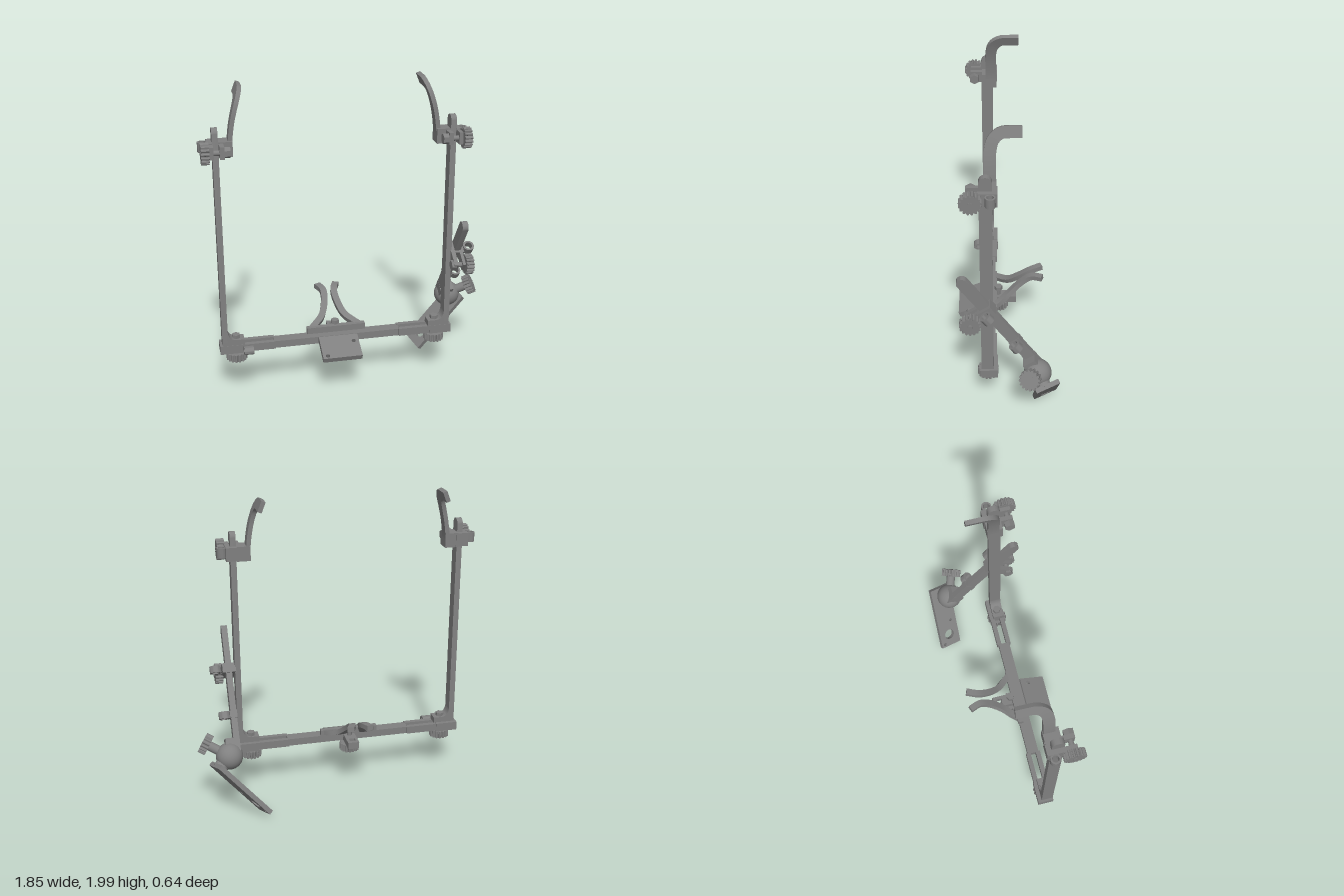
import * as THREE from 'three';
import { toCreasedNormals } from 'three/addons/utils/BufferGeometryUtils.js';

const grey = new THREE.MeshStandardMaterial({ color: 0x808080 });
grey.name = 'grey';
const V = (x, y, z) => new THREE.Vector3(x, y, z);
const CX = -0.1; // symmetry plane of the frame

function add(parent, name, geo, x = 0, y = 0, z = 0) {
  const m = new THREE.Mesh(geo, grey);
  m.name = name;
  m.position.set(x, y, z);
  parent.add(m);
  return m;
}

// box from min / max corners
function box(parent, name, x0, x1, y0, y1, z0, z1) {
  return add(parent, name, new THREE.BoxGeometry(Math.abs(x1 - x0), y1 - y0, z1 - z0),
    (x0 + x1) / 2, (y0 + y1) / 2, (z0 + z1) / 2);
}

// turn a part whose axis is z towards dir
function aim(mesh, dir) {
  mesh.quaternion.setFromUnitVectors(V(0, 0, 1), dir.clone().normalize());
  return mesh;
}

function extrude(shape, depth) {
  const g = new THREE.ExtrudeGeometry(shape, { depth, bevelEnabled: false, curveSegments: 16 });
  return toCreasedNormals(g.translate(0, 0, -depth / 2), 0.6);
}

function hole(shape, x, y, r) {
  shape.holes.push(new THREE.Path().absarc(x, y, r, 0, Math.PI * 2, true));
}

function rod(parent, name, a, b, r, sides = 20) {
  const d = b.clone().sub(a);
  const g = new THREE.CylinderGeometry(r, r, d.length(), sides).rotateX(Math.PI / 2);
  const m = add(parent, name, sides < 8 ? toCreasedNormals(g, 0.5) : g);
  m.position.copy(a).add(b).multiplyScalar(0.5);
  return aim(m, d);
}

// toothed thumb knob with a centre bore
function knob(parent, name, pos, dir) {
  const pts = [], n = 16;
  for (let i = 0; i < n; i++) {
    [[0, 0.055], [0.25, 0.064], [0.5, 0.066], [0.72, 0.062], [0.8, 0.054]].forEach(([f, r]) => {
      const a = (i + f) / n * Math.PI * 2;
      pts.push(new THREE.Vector2(Math.cos(a) * r, Math.sin(a) * r));
    });
  }
  const s = new THREE.Shape(pts);
  hole(s, 0, 0, 0.014);
  return aim(add(parent, name, extrude(s, 0.048), pos.x, pos.y, pos.z), dir);
}

function ring(parent, name, pos, dir, r, inner, depth) {
  const s = new THREE.Shape().absarc(0, 0, r, 0, Math.PI * 2);
  hole(s, 0, 0, inner);
  return aim(add(parent, name, extrude(s, depth), pos.x, pos.y, pos.z), dir);
}

// bar standing along y with a rounded top, flat in x
function roundBar(parent, name, x, z, y0, y1, width, thick) {
  const r = width / 2, s = new THREE.Shape();
  s.moveTo(-r, y0).lineTo(r, y0).lineTo(r, y1 - r);
  s.absarc(0, y1 - r, r, 0, Math.PI, false);
  s.lineTo(-r, y0);
  return add(parent, name, extrude(s, thick).rotateY(Math.PI / 2), x, 0, z);
}

// rectangular section swept along a smooth path
function sweep(pts, ref, w, h) {
  const curve = new THREE.CatmullRomCurve3(pts), n = 28, pos = [], idx = [];
  for (let i = 0; i <= n; i++) {
    const p = curve.getPointAt(i / n), t = curve.getTangentAt(i / n);
    const a = ref.clone().addScaledVector(t, -ref.dot(t)).normalize();
    const b = t.clone().cross(a);
    [[1, 1], [-1, 1], [-1, -1], [1, -1]].forEach(([u, v]) => {
      const q = p.clone().addScaledVector(a, u * w / 2).addScaledVector(b, v * h / 2);
      pos.push(q.x, q.y, q.z);
    });
    if (i < n) for (let j = 0; j < 4; j++) {
      const k = (j + 1) % 4, o = i * 4;
      idx.push(o + j, o + k, o + 4 + k, o + j, o + 4 + k, o + 4 + j);
    }
  }
  const e = n * 4;
  idx.push(e, e + 1, e + 2, e, e + 2, e + 3, 0, 2, 1, 0, 3, 2);
  const g = new THREE.BufferGeometry();
  g.setAttribute('position', new THREE.Float32BufferAttribute(pos, 3));
  g.setIndex(idx);
  return toCreasedNormals(g, 0.6);
}

// one side of the frame; d is the distance from the symmetry plane
function frameSide(s) {
  const g = new THREE.Group(), X = d => CX + s * d;
  g.name = s > 0 ? 'leftSide' : 'rightSide';

  // slotted slide and end block
  box(g, 'slideForkFront', X(0.405), X(0.62), 0.315, 0.365, 0.125, 0.155);
  box(g, 'slideForkBack', X(0.405), X(0.62), 0.315, 0.365, 0.06, 0.09);
  box(g, 'endBlock', X(0.61), X(0.755), 0.31, 0.367, 0.055, 0.157);

  // filleted foot and upright
  const f = new THREE.Shape();
  f.moveTo(X(0.6), 0.365).lineTo(X(0.74), 0.365).lineTo(X(0.74), 0.47).lineTo(X(0.705), 0.47);
  f.quadraticCurveTo(X(0.703), 0.407, X(0.655), 0.403);
  f.lineTo(X(0.6), 0.403);
  add(g, 'foot', extrude(f, 0.075), 0, 0, 0.1175);
  roundBar(g, 'upright', X(0.7225), 0.1175, 0.367, 1.78, 0.075, 0.036);
  knob(g, 'footKnob', V(X(0.65), 0.279, 0.115), V(0, -1, 0));
  rod(g, 'footBolt', V(X(0.65), 0.258, 0.115), V(X(0.65), 0.4, 0.115), 0.018);
  rod(g, 'footNut', V(X(0.65), 0.4, 0.115), V(X(0.65), 0.426, 0.115), 0.027, 6);

  // clamp around the upright
  const y = 1.65;
  box(g, 'clampInner', X(0.62), X(0.705), 1.605, 1.697, 0.055, 0.15);
  box(g, 'clampOuter', X(0.74), X(0.77), 1.61, 1.695, 0.055, 0.16);
  box(g, 'clampBack', X(0.69), X(0.77), 1.61, 1.695, 0.05, 0.079);
  box(g, 'clampEarInner', X(0.675), X(0.702), 1.615, 1.69, 0.14, 0.225);
  box(g, 'clampEarOuter', X(0.738), X(0.762), 1.615, 1.69, 0.14, 0.225);
  rod(g, 'clampBolt', V(X(0.64), y, 0.2), V(X(0.815), y, 0.2), 0.016);
  rod(g, 'clampNut', V(X(0.64), y, 0.2), V(X(0.676), y, 0.2), 0.033, 6);
  knob(g, 'clampKnob', V(X(0.788), y, 0.2), V(s, 0, 0));
  ring(g, 'clampEyelet', V(X(0.793), y + 0.01, 0.09), V(0, 1, 0), 0.03, 0.02, 0.06);

  // curved hook
  const path = [[0.0925, 1.61], [0.0925, 1.7], [0.0925, 1.79], [0.09, 1.86], [0.073, 1.925],
    [0.03, 1.962], [-0.025, 1.967], [-0.085, 1.967]];
  const pts = path.map(([z, h]) => V(X(0.635 - 0.068 * ((h - 1.62) / 0.35) ** 2), h, z));
  add(g, 'hook', sweep(pts, V(1, 0.4 * s, 0), 0.027, 0.068));
  return g;
}

// rail, tilted plate and the pair of horns
function centre() {
  const g = new THREE.Group();
  g.name = 'centre';
  box(g, 'rail', CX - 0.41, CX + 0.41, 0.315, 0.362, 0.07, 0.145);
  box(g, 'hornBase', CX - 0.19, CX + 0.19, 0.362, 0.403, 0.06, 0.095);
  const t = new THREE.Shape([[-0.037, -0.08], [0.037, -0.08], [0.037, 0.07], [-0.037, 0.07]]
    .map(p => new THREE.Vector2(...p)));
  t.holes.push(new THREE.Path([[-0.02, 0.01], [-0.02, 0.044], [0.018, 0.044], [0.018, 0.01]]
    .map(p => new THREE.Vector2(...p))));
  add(g, 'rearTab', extrude(t, 0.045).rotateX(-Math.PI / 2), CX, 0.338, 0);
  knob(g, 'centreKnob', V(CX, 0.283, 0.05), V(0, -1, 0));
  rod(g, 'centreBolt', V(CX, 0.26, 0.05), V(CX, 0.41, 0.05), 0.016);
  rod(g, 'centreNut', V(CX, 0.4, 0.05), V(CX, 0.428, 0.05), 0.027, 6);

  const p = new THREE.Shape([[-0.126, -0.09], [0.126, -0.09], [0.126, 0.09], [-0.126, 0.09]]
    .map(q => new THREE.Vector2(...q)));
  hole(p, -0.095, -0.068, 0.013);
  hole(p, 0.092, 0.035, 0.013);
  add(g, 'tiltedPlate', extrude(p, 0.036), CX, 0.312, 0.228).rotation.x = -Math.PI / 2 + 0.39;

  for (const s of [-1, 1]) {
    const pts = [[0.16, 0.385, 0.08], [0.128, 0.395, 0.04], [0.075, 0.425, -0.02],
      [0.041, 0.49, -0.1], [0.036, 0.535, -0.17], [0.063, 0.545, -0.242]];
    add(g, 'horn', sweep(pts.map(([x, y, z]) => V(CX + s * x, y, z)), V(1, 0, 0), 0.042, 0.032));
  }
  return g;
}

// slanted strut clamped to the left upright
function strut() {
  const g = new THREE.Group();
  g.name = 'strut';
  g.position.set(0.68, 0.885, 0.115);
  g.rotation.x = 0.607;
  roundBar(g, 'strutBar', 0, 0, -0.48, 0.285, 0.068, 0.038);
  box(g, 'strutClamp', -0.045, 0.04, -0.03, 0.03, -0.042, 0.05);
  box(g, 'clampEarInner', -0.045, -0.018, -0.03, 0.03, 0.04, 0.145);
  box(g, 'clampEarOuter', 0.01, 0.03, -0.03, 0.03, 0.04, 0.145);
  rod(g, 'clampBolt', V(-0.05, 0, 0.122), V(0.085, 0, 0.122), 0.016);
  rod(g, 'clampNut', V(-0.06, 0, 0.122), V(-0.03, 0, 0.122), 0.032, 6);
  knob(g, 'clampKnob', V(0.053, 0, 0.122), V(1, 0, 0));
  ring(g, 'upperEyelet', V(0.082, 0, 0), V(0, 1, 0), 0.036, 0.023, 0.045);
  ring(g, 'lowerEyelet', V(0.056, -0.297, 0), V(0, 1, 0), 0.036, 0.023, 0.045);
  box(g, 'lowerBand', -0.022, 0.024, -0.32, -0.275, -0.037, 0.037);
  box(g, 'socketNeck', -0.02, 0.07, -0.53, -0.445, -0.035, 0.05);
  return g;
}

// ball joint, its knob and the swivel plate
function ballJoint() {
  const g = new THREE.Group();
  g.name = 'ballJoint';
  const c = V(0.73, 0.425, -0.188), dir = V(0.14, 0.075, 0.05).normalize();
  const at = d => c.clone().addScaledVector(dir, d);
  add(g, 'ball', new THREE.SphereGeometry(0.085, 32, 20), c.x, c.y, c.z);
  rod(g, 'ballScrew', at(0.05), at(0.19), 0.03);
  knob(g, 'ballKnob', at(0.165), dir);

  const u = V(0.645, 0.764, 0).normalize(), v = V(-0.295, 0.27, -0.917);
  v.addScaledVector(u, -u.dot(v)).normalize();
  const n = u.clone().cross(v);
  const s = new THREE.Shape([[-0.237, -0.077], [0.237, -0.077], [0.237, 0.077], [-0.237, 0.077]]
    .map(p => new THREE.Vector2(...p)));
  hole(s, -0.148, 0, 0.037);
  hole(s, -0.04, -0.033, 0.011);
  hole(s, -0.214, 0.05, 0.011);
  const plate = add(g, 'swivelPlate', extrude(s, 0.03), 0.672, 0.22, -0.245);
  plate.quaternion.setFromRotationMatrix(new THREE.Matrix4().makeBasis(u, v, n));
  rod(g, 'ballNeck', c.clone().addScaledVector(n, -0.1), c, 0.045);
  return g;
}

export function createModel() {
  const model = new THREE.Group();
  model.name = 'clampFrame';
  model.add(frameSide(-1), frameSide(1), centre(), strut(), ballJoint());
  // small eyelet on the right slide
  ring(model, 'slideEyelet', V(-0.68, 0.342, 0.19), V(1, 0, 0), 0.036, 0.02, 0.06).scale.y = 0.7;
  return model;
}
